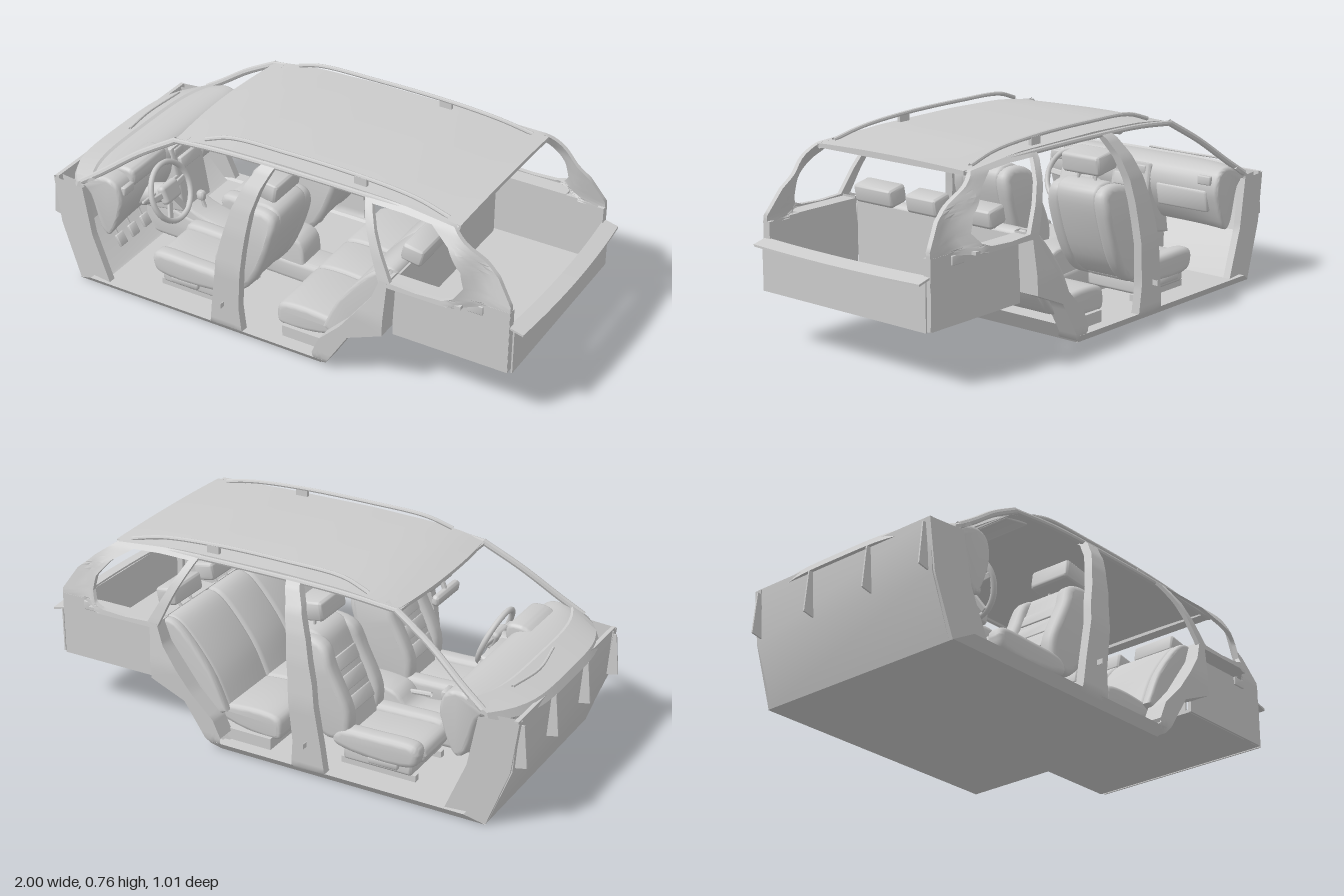
import * as THREE from 'three';
import { toCreasedNormals } from 'three/addons/utils/BufferGeometryUtils.js';
import { RoundedBoxGeometry } from 'three/addons/geometries/RoundedBoxGeometry.js';
import { ParametricGeometry } from 'three/addons/geometries/ParametricGeometry.js';

const grey = new THREE.MeshStandardMaterial({ color: 0xcccccc, side: THREE.DoubleSide });
const lerp = THREE.MathUtils.lerp;

// Piecewise-linear lookup through [position, value] pairs
function ramp(t, keys) {
  for (let i = 1; i < keys.length; i++) {
    const [a, va] = keys[i - 1], [b, vb] = keys[i];
    if (t <= b) return lerp(va, vb, Math.max(0, (t - a) / (b - a)));
  }
  return keys[keys.length - 1][1];
}

// Half-width of the body side at a given length and height
function bodyZ(x, y) {
  const wide = ramp(y, [[0, 0.44], [0.04, 0.472], [0.3, 0.482], [0.46, 0.464], [0.55, 0.445], [0.62, 0.42], [0.69, 0.375], [0.72, 0.34]]);
  const narrow = ramp(y, [[0.46, 0.398], [0.72, 0.345]]);
  return lerp(wide, Math.min(wide, narrow), THREE.MathUtils.smoothstep(x, 0.72, 0.83));
}

export function createModel() {
  const root = new THREE.Group();
  root.name = 'carCabin';

  // Applies a vertex rule and creased normals, then names the mesh
  function add(name, geometry, rule) {
    let g = geometry.index ? geometry.toNonIndexed() : geometry;
    g.deleteAttribute('normal');
    g.deleteAttribute('uv');
    const p = g.attributes.position, v = new THREE.Vector3();
    for (let i = 0; rule && i < p.count; i++) {
      v.fromBufferAttribute(p, i);
      rule(v);
      p.setXYZ(i, v.x, v.y, v.z);
    }
    g = toCreasedNormals(g, 0.7);
    const mesh = new THREE.Mesh(g, grey);
    mesh.name = name;
    root.add(mesh);
    return mesh;
  }
  const vec = (pts) => pts.map(([x, y]) => new THREE.Vector2(x, y));
  const spline = (pts, n = 36) => new THREE.SplineCurve(vec([...pts, pts[0]])).getPoints(n).slice(0, -1);

  // Side profile swept across the car from z0 to z1
  function prism(name, pts, z0, z1, { bevel = 0, steps = 1, rule } = {}) {
    const g = new THREE.ExtrudeGeometry(new THREE.Shape(pts), {
      depth: z1 - z0 - 2 * bevel, steps, bevelEnabled: bevel > 0,
      bevelSize: bevel, bevelThickness: bevel, bevelOffset: -bevel, bevelSegments: 3,
    });
    g.translate(0, 0, z0 + bevel);
    return add(name, g, rule);
  }
  // Hollow trim between two matching edge lines, following the body on both sides
  function skin(name, edgeA, edgeB, thick, slices, width = bodyZ) {
    const at = (edge, u, k) => ramp(u * (edge.length - 1), edge.map((p, i) => [i, p[k]]));
    for (const s of [1, -1]) {
      add(name, new ParametricGeometry((u, v, out) => {
        const across = ramp(v, [[0, 0], [0.4, 1], [0.5, 1], [0.9, 0], [1, 0]]);
        const depth = ramp(v, [[0, 0], [0.4, 0], [0.5, thick], [0.9, thick], [1, 0]]);
        const x = lerp(at(edgeA, u, 0), at(edgeB, u, 0), across);
        const y = lerp(at(edgeA, u, 1), at(edgeB, u, 1), across);
        out.set(x, y, s * (width(x, y) - depth));
      }, slices, 10));
    }
  }
  function box(name, x, y, z, w, h, d, r = 0, tilt = 0) {
    const g = r ? new RoundedBoxGeometry(w, h, d, 3, r) : new THREE.BoxGeometry(w, h, d);
    g.rotateZ(tilt);
    g.translate(x, y, z);
    return add(name, g);
  }
  function tube(name, pts, r, n = 24) {
    const c = new THREE.CatmullRomCurve3(pts.map((p) => new THREE.Vector3(...p)));
    return add(name, new THREE.TubeGeometry(c, n, r, 8));
  }

  // Floor pan, firewall and transmission tunnel
  prism('floorPan', vec([[-0.87, 0], [0.21, 0], [0.26, 0.07], [0.24, 0.07], [0.19, 0.025], [-0.86, 0.025]]), -0.435, 0.435);
  prism('firewall', vec([[-0.87, 0], [-0.955, 0.22], [-0.97, 0.42], [-0.955, 0.42], [-0.94, 0.22], [-0.855, 0.01]]), -0.42, 0.42);
  prism('toeBoard', vec([[-0.9, 0.18], [-0.76, 0.03], [-0.74, 0.02], [-0.87, 0.02]]), -0.41, 0.41);
  prism('tunnel', spline([[-0.82, 0.03], [-0.8, 0.2], [-0.6, 0.15], [-0.2, 0.11], [0.1, 0.1], [0.12, 0.02], [-0.3, 0.02]]), -0.07, 0.07, { bevel: 0.02 });
  for (const z of [-0.4, -0.14, 0.14, 0.4]) prism('firewallBracket', vec([[-0.952, 0.23], [-1, 0.24], [-0.985, 0.4], [-0.965, 0.4]]), z - 0.003, z + 0.003);

  // Body side: sills, kick panels, pillars and window surround
  skin('sill', [[-0.87, 0], [0.21, 0]], [[-0.8, 0.035], [0.23, 0.035]], 0.045, 12);
  skin('kickPanel', [[-0.87, 0], [-0.95, 0.22], [-0.975, 0.415]], [[-0.72, 0.035], [-0.795, 0.22], [-0.83, 0.415]], 0.03, 16,
    (x, y) => Math.min(bodyZ(x, y), 0.45 + (x + 0.76) * 0.12));
  skin('centrePillar', [[-0.25, 0.02], [-0.235, 0.14], [-0.2, 0.38], [-0.16, 0.54], [-0.12, 0.64], [-0.08, 0.715]],
    [[-0.11, 0.02], [-0.12, 0.14], [-0.1, 0.38], [-0.08, 0.54], [-0.055, 0.64], [-0.025, 0.715]], 0.035, 30);
  skin('rearDoorFrame', [[0.2, 0], [0.24, 0.02], [0.34, 0.18], [0.48, 0.24], [0.49, 0.46]],
    [[0.19, 0.06], [0.22, 0.13], [0.31, 0.22], [0.43, 0.38], [0.46, 0.46]], 0.08, 24);
  skin('quarterWindowFrame',
    [[0.46, 0.44], [0.4, 0.58], [0.335, 0.715], [0.5, 0.712], [0.69, 0.7], [0.78, 0.635], [0.87, 0.56], [0.93, 0.47],
      [0.93, 0.44], [0.75, 0.44], [0.6, 0.44], [0.46, 0.44]],
    [[0.5, 0.46], [0.44, 0.57], [0.375, 0.695], [0.5, 0.695], [0.61, 0.69], [0.69, 0.64], [0.75, 0.57], [0.765, 0.51],
      [0.74, 0.475], [0.7, 0.46], [0.6, 0.455], [0.5, 0.46]], 0.018, 55);
  for (const s of [-1, 1]) {
    tube('windscreenPillar', [[-0.84, 0.435, s * 0.425], [-0.75, 0.495, s * 0.405], [-0.61, 0.595, s * 0.37], [-0.46, 0.682, s * 0.34]], 0.013);
    tube('cantRail', [[-0.47, 0.68, s * 0.342], [-0.25, 0.7, s * 0.347], [0.1, 0.706, s * 0.347], [0.45, 0.702, s * 0.347], [0.7, 0.688, s * 0.347]], 0.01);
    tube('roofRail', [[-0.34, 0.715, s * 0.325], [-0.24, 0.745, s * 0.315], [0, 0.753, s * 0.312], [0.3, 0.75, s * 0.312],
      [0.52, 0.733, s * 0.315], [0.65, 0.705, s * 0.325]], 0.008, 36);
    box('roofRailFoot', 0.3, 0.732, s * 0.314, 0.05, 0.035, 0.014);
    box('hingePlate', -0.18, 0.145, s * 0.492, 0.002, 0.02, 0.024);
    box('sunVisor', -0.4, 0.683, s * 0.2, 0.12, 0.012, 0.2, 0.005, 0.2);
  }

  // Roof skin with a gentle dome
  const roofY = (x) => ramp(x, [[-0.48, 0.683], [-0.38, 0.705], [-0.25, 0.718], [0, 0.725], [0.4, 0.721], [0.7, 0.702]]);
  const roof = new THREE.BoxGeometry(1.19, 0.014, 0.69, 24, 1, 12);
  roof.translate(0.11, 0, 0);
  add('roof', roof, (v) => { v.x += v.x < -0.2 ? v.z * v.z * 0.2 : 0; v.y += roofY(v.x) - v.z * v.z * 0.06 - 0.003; });
  box('rearHeader', 0.675, 0.69, 0, 0.05, 0.016, 0.69);
  box('frontHeader', -0.44, 0.682, 0, 0.06, 0.014, 0.66, 0, 0.25);

  // Dashboard and cowl, with a bowed leading edge
  const bow = (v) => { v.x += 3.2 * v.z ** 4 * Math.max(0, (-0.68 - v.x) / 0.28); };
  prism('dashboard', spline([[-0.965, 0.415], [-0.86, 0.46], [-0.76, 0.473], [-0.69, 0.45], [-0.67, 0.38], [-0.7, 0.3],
    [-0.76, 0.225], [-0.82, 0.25], [-0.88, 0.38]]), -0.42, 0.42, { bevel: 0.015, steps: 20, rule: bow });
  prism('cowl', vec([[-0.985, 0.4], [-0.97, 0.43], [-0.86, 0.468], [-0.84, 0.46], [-0.955, 0.42], [-0.96, 0.4]]), -0.43, 0.43, { steps: 20, rule: bow });
  prism('instrumentHood', spline([[-0.78, 0.46], [-0.73, 0.487], [-0.67, 0.48], [-0.67, 0.42], [-0.74, 0.4]]), 0.12, 0.34, { bevel: 0.015 });
  prism('centreStack', vec([[-0.75, 0.45], [-0.67, 0.45], [-0.64, 0.3], [-0.62, 0.18], [-0.8, 0.15]]), -0.1, 0.085, { bevel: 0.012 });
  box('radio', -0.65, 0.38, 0, 0.02, 0.05, 0.12, 0.004, 0.15);
  box('gloveBox', -0.685, 0.34, -0.25, 0.03, 0.09, 0.24, 0.01, -0.2);
  for (const z of [-0.36, -0.05, 0.04, 0.37]) box('airVent', -0.672, 0.425, z, 0.02, 0.035, 0.06, 0.005);
  tube('wiper', [[-0.88, 0.468, -0.28], [-0.9, 0.461, -0.1], [-0.88, 0.468, 0.06]], 0.005);

  // Console, shifter, handbrake and pedals
  prism('centreConsole', spline([[-0.72, 0.05], [-0.68, 0.2], [-0.55, 0.165], [-0.38, 0.14], [-0.3, 0.2], [-0.12, 0.2], [-0.09, 0.1], [-0.12, 0.04]]), -0.065, 0.065, { bevel: 0.012 });
  tube('shiftLever', [[-0.57, 0.15, 0], [-0.585, 0.18, 0], [-0.595, 0.21, 0]], 0.008);
  box('shiftKnob', -0.597, 0.222, 0, 0.035, 0.04, 0.03, 0.012);
  tube('handbrake', [[-0.28, 0.16, 0.025], [-0.36, 0.17, 0.025], [-0.42, 0.175, 0.025]], 0.01);
  for (const z of [0.14, 0.22, 0.3]) {
    box('pedal', -0.77, 0.13, z, 0.012, 0.05, 0.045, 0.004, 0.5);
    tube('pedalArm', [[-0.78, 0.13, z], [-0.81, 0.2, z], [-0.8, 0.27, z]], 0.005, 8);
  }

  // Steering wheel facing rearward and up
  const wheel = new THREE.Group();
  wheel.name = 'steeringWheel';
  const part = (name, g) => { const m = new THREE.Mesh(g, grey); m.name = name; wheel.add(m); return m; };
  part('wheelRim', new THREE.TorusGeometry(0.113, 0.011, 10, 40));
  part('wheelHub', new RoundedBoxGeometry(0.1, 0.075, 0.035, 3, 0.015)).position.z = -0.008;
  for (const a of [0.1, Math.PI - 0.1, -1.1, Math.PI + 1.1]) {
    const spoke = part('wheelSpoke', new RoundedBoxGeometry(0.08, 0.024, 0.012, 2, 0.005));
    spoke.position.set(Math.cos(a) * 0.072, Math.sin(a) * 0.072, -0.008);
    spoke.rotation.z = a;
  }
  const column = part('steeringColumn', new THREE.CylinderGeometry(0.035, 0.045, 0.12, 20));
  column.rotation.x = Math.PI / 2;
  column.position.z = -0.08;
  for (const s of [-1, 1]) part('columnStalk', new RoundedBoxGeometry(0.09, 0.012, 0.012, 2, 0.005)).position.set(s * 0.07, 0.01, -0.05);
  wheel.position.set(-0.575, 0.37, 0.23);
  wheel.rotation.set(0, Math.PI / 2, 0);
  wheel.rotateX(-0.38);
  root.add(wheel);

  // Front seats: centre pads with raised side bolsters
  const cushion = [[-0.58, 0.13], [-0.55, 0.165], [-0.4, 0.165], [-0.25, 0.155], [-0.23, 0.11], [-0.4, 0.085], [-0.55, 0.095]];
  const back = [[-0.29, 0.16], [-0.265, 0.26], [-0.2, 0.4], [-0.16, 0.49], [-0.1, 0.515], [-0.035, 0.49], [-0.04, 0.4], [-0.11, 0.22], [-0.2, 0.13]];
  for (const s of [-1, 1]) {
    const c = s * 0.235;
    prism('seatCushion', spline(cushion), c - 0.095, c + 0.095, { bevel: 0.015 });
    prism('seatBack', spline(back), c - 0.095, c + 0.095, { bevel: 0.015 });
    for (const o of [-0.11, 0.11]) {
      prism('cushionBolster', spline(cushion.map(([x, y]) => [x * 0.97 - 0.012, y + (y > 0.12 ? 0.02 : 0)])), c + o - 0.035, c + o + 0.035, { bevel: 0.022 });
      const taper = (v) => { v.z = c + (v.z - c) * ramp(v.y, [[0.14, 0.95], [0.3, 1.0], [0.42, 1], [0.53, 0.85]]); };
      prism('backBolster', spline(back.map(([x, y], i) => [x - (i > 0 && i < 4 ? 0.025 : 0), y - 0.008])), c + o - 0.035, c + o + 0.035, { bevel: 0.022, rule: taper });
    }
    for (const y of [0.25, 0.32, 0.39]) box('backSeam', ramp(y, [[0.25, -0.268], [0.39, -0.205]]), y, c, 0.012, 0.055, 0.15, 0.005, -0.42);
    box('seatBase', -0.4, 0.08, c, 0.28, 0.06, 0.25, 0.015);
    for (const o of [-0.1, 0.1]) box('seatRail', -0.4, 0.04, c + o, 0.3, 0.025, 0.025);
    box('seatControl', -0.43, 0.085, c + s * 0.13, 0.12, 0.03, 0.02, 0.006);
    const top = s > 0 ? 0.575 : 0.585;
    box('frontHeadrest', -0.1, top, c + s * 0.006, 0.115, 0.075, 0.175, 0.014, -0.15);
    for (const o of [-0.04, 0.04]) tube('headrestPost', [[-0.095, 0.49, c + o], [-0.097, 0.53, c + o], [-0.1, top, c + o]], 0.006, 4);
  }

  // Rear bench: two outer places and a narrow middle one
  const bench = [[-0.015, 0.09], [0, 0.15], [0.1, 0.165], [0.25, 0.15], [0.3, 0.12], [0.15, 0.07], [0.01, 0.06]];
  const benchBack = [[0.2, 0.14], [0.26, 0.27], [0.35, 0.39], [0.42, 0.452], [0.475, 0.45], [0.48, 0.38], [0.4, 0.24], [0.29, 0.11]];
  for (const [z, w] of [[-0.245, 0.28], [0, 0.21], [0.245, 0.28]]) {
    prism('rearCushion', spline(bench), z - w / 2, z + w / 2, { bevel: 0.018 });
    prism('rearBackrest', spline(benchBack), z - w / 2, z + w / 2, { bevel: 0.018 });
    box('rearHeadrest', 0.51, 0.5, z * 0.96, 0.085, 0.07, z ? 0.185 : 0.147, 0.014, -0.2);
    for (const o of [-0.035, 0.035]) tube('rearHeadrestPost', [[0.46, 0.43, z + o], [0.48, 0.46, z + o], [0.5, 0.49, z + o]], 0.006, 4);
  }
  for (const s of [-1, 1]) prism('rearSideBolster', spline(benchBack), s * 0.395 - 0.02, s * 0.395 + 0.02, { bevel: 0.012 });
  prism('benchRiser', vec([[0.02, 0.02], [0.02, 0.07], [0.24, 0.07], [0.19, 0.02]]), -0.4, 0.4);

  // Cargo bay: floor, side trim, sill shelves and tailgate panel
  box('cargoFloor', 0.705, 0.205, 0, 0.45, 0.012, 0.78);
  box('cargoBulkhead', 0.488, 0.325, 0, 0.008, 0.24, 0.74);
  for (const s of [-1, 1]) {
    box('cargoSide', 0.705, 0.325, s * 0.392, 0.45, 0.25, 0.014);
    box('cargoRearPost', 0.918, 0.325, s * 0.382, 0.025, 0.25, 0.03);
    box('windowShelf', 0.62, 0.446, s * 0.42, 0.3, 0.012, 0.07);
    box('sideLatch', 0.8, 0.425, s * 0.4, 0.06, 0.035, 0.01, 0.003);
  }
  box('tailgatePanel', 0.943, 0.29, 0, 0.006, 0.18, 0.78);
  const lip = new THREE.BoxGeometry(0.058, 0.008, 0.79, 1, 1, 16);
  add('tailgateLip', lip, (v) => { v.y += 0.379 - v.x * 0.25; v.x += 0.971 - v.z * v.z * 0.12; });

  // Overhead console and interior mirror
  box('overheadConsole', -0.4, 0.678, -0.015, 0.15, 0.03, 0.17, 0.01, 0.18);
  tube('mirrorStem', [[-0.465, 0.68, -0.015], [-0.475, 0.655, -0.015], [-0.485, 0.63, -0.015]], 0.01, 8);
  box('interiorMirror', -0.485, 0.62, -0.012, 0.03, 0.042, 0.175, 0.013, 0.15);

  return root;
}
